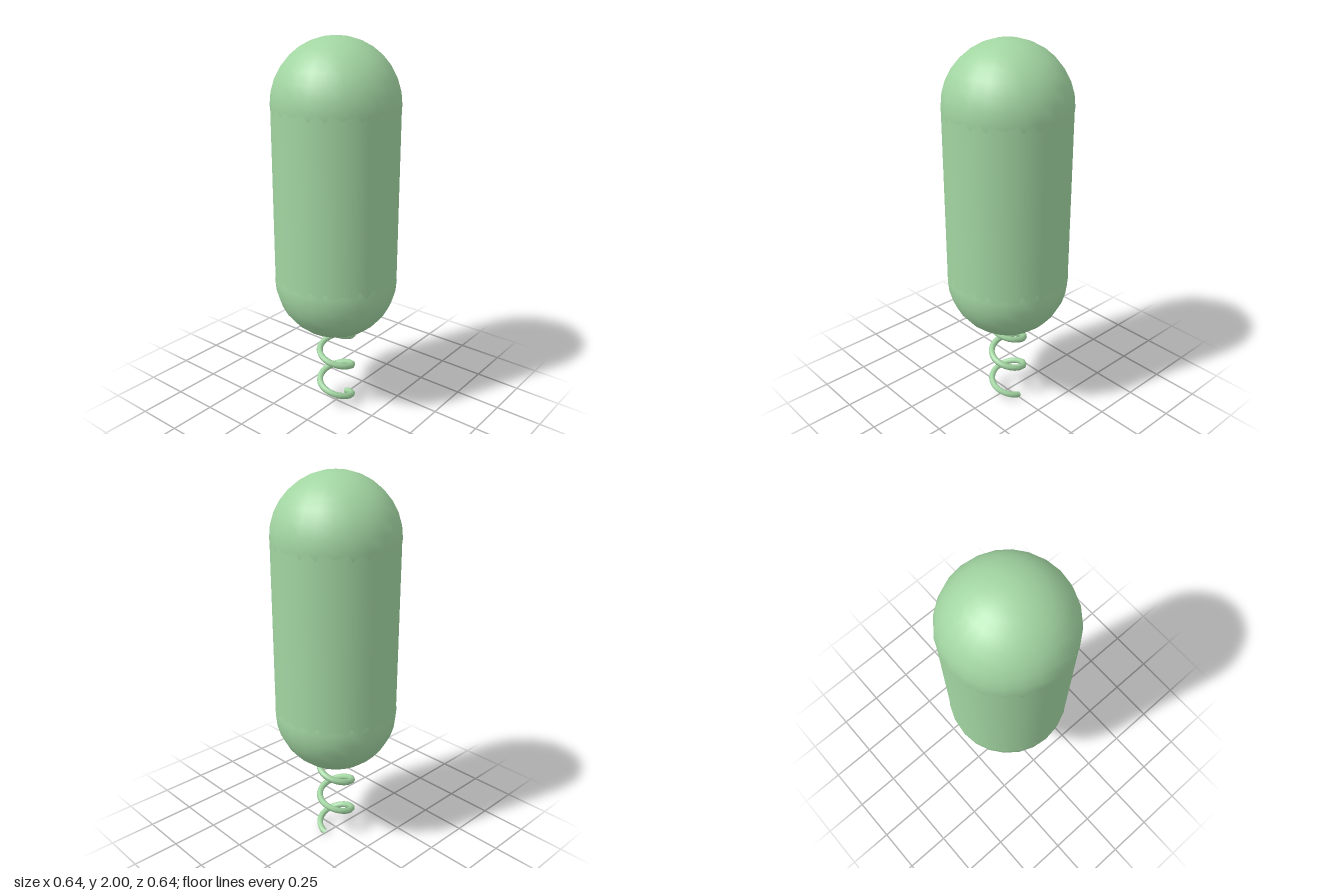
import * as THREE from 'three';

const R = 0.322, TOP = 1.678, BOTTOM = 0.762;

// Coil that climbs from the ground into the underside of the body
class Coil extends THREE.Curve {
  getPoint(t, target = new THREE.Vector3()) {
    const turns = 2.5, a = t * turns * Math.PI * 2;
    return target.set(0.09 * Math.cos(a), 0.018 + 0.187 * turns * t, 0.09 * Math.sin(a));
  }
}

export function createModel() {
  const group = new THREE.Group();
  const green = new THREE.MeshStandardMaterial({ color: 0xa2d5a2, side: THREE.DoubleSide });
  green.name = 'soft green';

  const add = (name, geometry, y = 0) => {
    const mesh = new THREE.Mesh(geometry, green);
    mesh.name = name;
    mesh.position.y = y;
    group.add(mesh);
  };

  // Capsule body: a barrel with a full ball at each end
  add('barrel', new THREE.CylinderGeometry(0.3195, 0.3195, TOP - BOTTOM, 32), (TOP + BOTTOM) / 2);
  add('topDome', new THREE.SphereGeometry(R, 24, 16), TOP);
  add('bottomDome', new THREE.SphereGeometry(R, 24, 16), BOTTOM);

  // Spring
  add('spring', new THREE.TubeGeometry(new Coil(), 100, 0.017, 8, false));
  return group;
}
